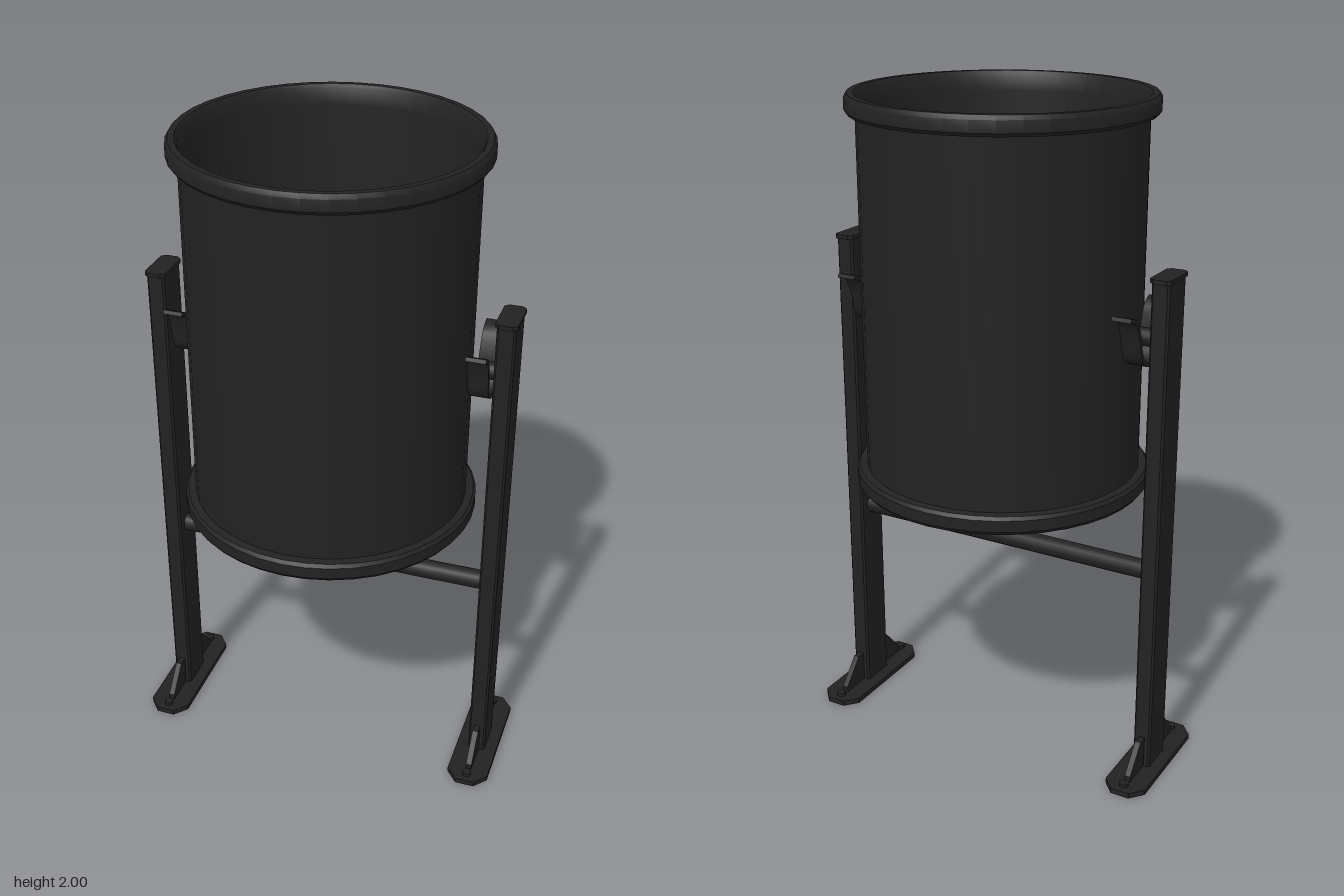
import * as THREE from 'three';
import { toCreasedNormals } from 'three/addons/utils/BufferGeometryUtils.js';

const POST_X = 0.514;

// Rectangle in plan with cut (chamfered) corners, extruded upward from y = 0
function chamferedSlab(width, depth, height, cutX, cutZ = cutX) {
  const w = width / 2, d = depth / 2;
  const shape = new THREE.Shape([
    [-w + cutX, -d], [w - cutX, -d], [w, -d + cutZ], [w, d - cutZ],
    [w - cutX, d], [-w + cutX, d], [-w, d - cutZ], [-w, -d + cutZ],
  ].map(([x, y]) => new THREE.Vector2(x, y)));
  return new THREE.ExtrudeGeometry(shape, { depth: height, bevelEnabled: false }).rotateX(-Math.PI / 2);
}

// Outline in (z, y), extruded along x and centred on x = 0
function sidePlate(points, thickness) {
  const shape = new THREE.Shape(points.map(([z, y]) => new THREE.Vector2(-z, y)));
  return new THREE.ExtrudeGeometry(shape, { depth: thickness, bevelEnabled: false })
    .translate(0, 0, -thickness / 2).rotateY(Math.PI / 2);
}

export function createModel() {
  const model = new THREE.Group();
  model.name = 'tiltingBin';
  const metal = new THREE.MeshStandardMaterial({ color: 0x222222 });
  metal.name = 'blackMetal';

  const add = (parent, name, geometry, x = 0, y = 0, z = 0) => {
    const mesh = new THREE.Mesh(geometry, metal);
    mesh.name = name;
    mesh.position.set(x, y, z);
    parent.add(mesh);
    return mesh;
  };

  // Open drum with rolled rims, thin wall and a recessed floor
  const profile = [
    [0, 0.885], [0.4, 0.885], [0.405, 0.86], [0.43, 0.855], [0.438, 0.866],
    [0.438, 0.9], [0.43, 0.91], [0.408, 0.912], [0.408, 1.943], [0.43, 1.945],
    [0.438, 1.955], [0.438, 1.988], [0.43, 2], [0.412, 2], [0.405, 1.99],
    [0.398, 1.945], [0.398, 0.91], [0, 0.91],
  ].map(([r, y]) => new THREE.Vector2(r, y));
  add(model, 'drum', toCreasedNormals(new THREE.LatheGeometry(profile, 40), 0.6));

  // Round bar joining the posts
  add(model, 'crossbar', new THREE.CylinderGeometry(0.029, 0.029, 0.98, 16).rotateZ(Math.PI / 2), 0, 0.65);

  // Curved cradle strip: offset a centre line to both sides to get its outline
  const curve = new THREE.SplineCurve([
    [-0.15, 1.448], [-0.11, 1.432], [-0.083, 1.38], [-0.062, 1.315], [-0.01, 1.287],
    [0.035, 1.315], [0.05, 1.375], [0.068, 1.43], [0.1, 1.448],
  ].map(([z, y]) => new THREE.Vector2(z, y)));
  const outer = [], inner = [];
  for (let i = 0; i <= 28; i++) {
    const p = curve.getPoint(i / 28), t = curve.getTangent(i / 28);
    outer.push([p.x + t.y * 0.006, p.y - t.x * 0.006]);
    inner.unshift([p.x - t.y * 0.006, p.y + t.x * 0.006]);
  }
  const cradle = toCreasedNormals(sidePlate([...outer, ...inner], 0.058), 0.6);

  for (const side of [-1, 1]) {
    const support = new THREE.Group();
    support.name = side > 0 ? 'leftSupport' : 'rightSupport';
    model.add(support);
    const x = side * POST_X;

    // Upright with its cap
    add(support, 'post', chamferedSlab(0.054, 0.114, 1.525, 0.006), x, 0.01);
    add(support, 'postCap', chamferedSlab(0.063, 0.134, 0.012, 0.012), x, 1.534);

    // Foot with gussets and anchor bolts
    add(support, 'footPlate', chamferedSlab(0.128, 0.418, 0.017, 0.035, 0.04), x, 0);
    for (const end of [-1, 1]) {
      const gusset = [[0.05, 0.015], [0.155, 0.015], [0.155, 0.035], [0.085, 0.115], [0.05, 0.115]];
      add(support, 'gusset', sidePlate(gusset.map(([z, y]) => [z * end, y]), 0.018), x);
      add(support, 'anchorBolt', new THREE.CylinderGeometry(0.014, 0.014, 0.012, 8), x, 0.022, end * 0.178);
    }

    // Pivot pin resting in the cradle
    add(support, 'cradle', cradle, side * 0.445);
    add(support, 'pivotPin', new THREE.CylinderGeometry(0.026, 0.026, 0.09, 16).rotateZ(Math.PI / 2),
      side * 0.448, 1.365, -0.01);
  }
  return model;
}
